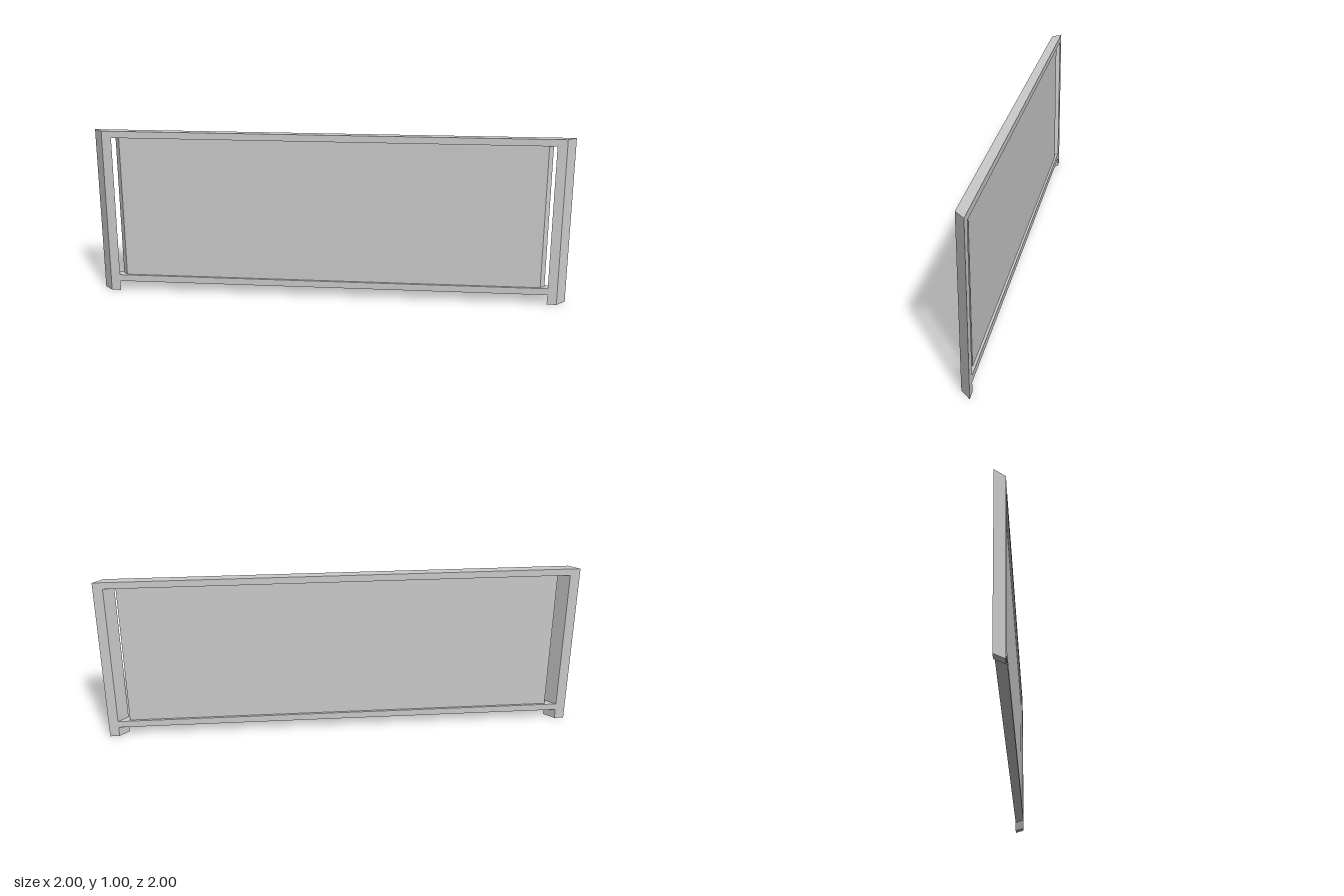
import * as THREE from 'three';

// Extrudes an outline (run, height) from depth d0 to d1 and lays it on the diagonal.
// The -x end is cut square to x, the +z end square to z.
function diagonalPart(name, shape, d0, d1, material) {
  const geo = new THREE.ExtrudeGeometry(shape, { depth: d1 - d0, bevelEnabled: false });
  geo.translate(0, 0, d0);
  const p = geo.attributes.position;
  for (let i = 0; i < p.count; i++) {
    const u = p.getX(i), d = p.getZ(i);
    if (u < 0) p.setXYZ(i, u, p.getY(i), u + d);
    else p.setXYZ(i, u - d, p.getY(i), u);
  }
  geo.computeVertexNormals();
  const mesh = new THREE.Mesh(geo, material);
  mesh.name = name;
  return mesh;
}

const points = (list) => list.map(([x, y]) => new THREE.Vector2(x, y));

export function createModel() {
  const group = new THREE.Group();
  group.name = 'diagonalRailing';
  const material = new THREE.MeshStandardMaterial({ color: 0xcccccc, flatShading: true });

  // Frame: two posts with short feet, joined by a top and a bottom rail
  const inner = 0.96;
  const frame = new THREE.Shape(points([
    [-1, 0], [-inner, 0], [-inner, 0.06], [inner, 0.06],
    [inner, 0], [1, 0], [1, 1], [-1, 1],
  ]));
  frame.holes.push(new THREE.Path(points([
    [-inner, 0.1], [-inner, 0.96], [inner, 0.96], [inner, 0.1],
  ])));
  group.add(diagonalPart('frame', frame, 0, 0.08, material));

  // Infill panel: centred in the frame's depth, with a gap to each post
  const panel = new THREE.Shape(points([
    [-0.92, 0.1], [0.92, 0.1], [0.92, 0.96], [-0.92, 0.96],
  ]));
  group.add(diagonalPart('panel', panel, 0.02, 0.06, material));

  return group;
}
